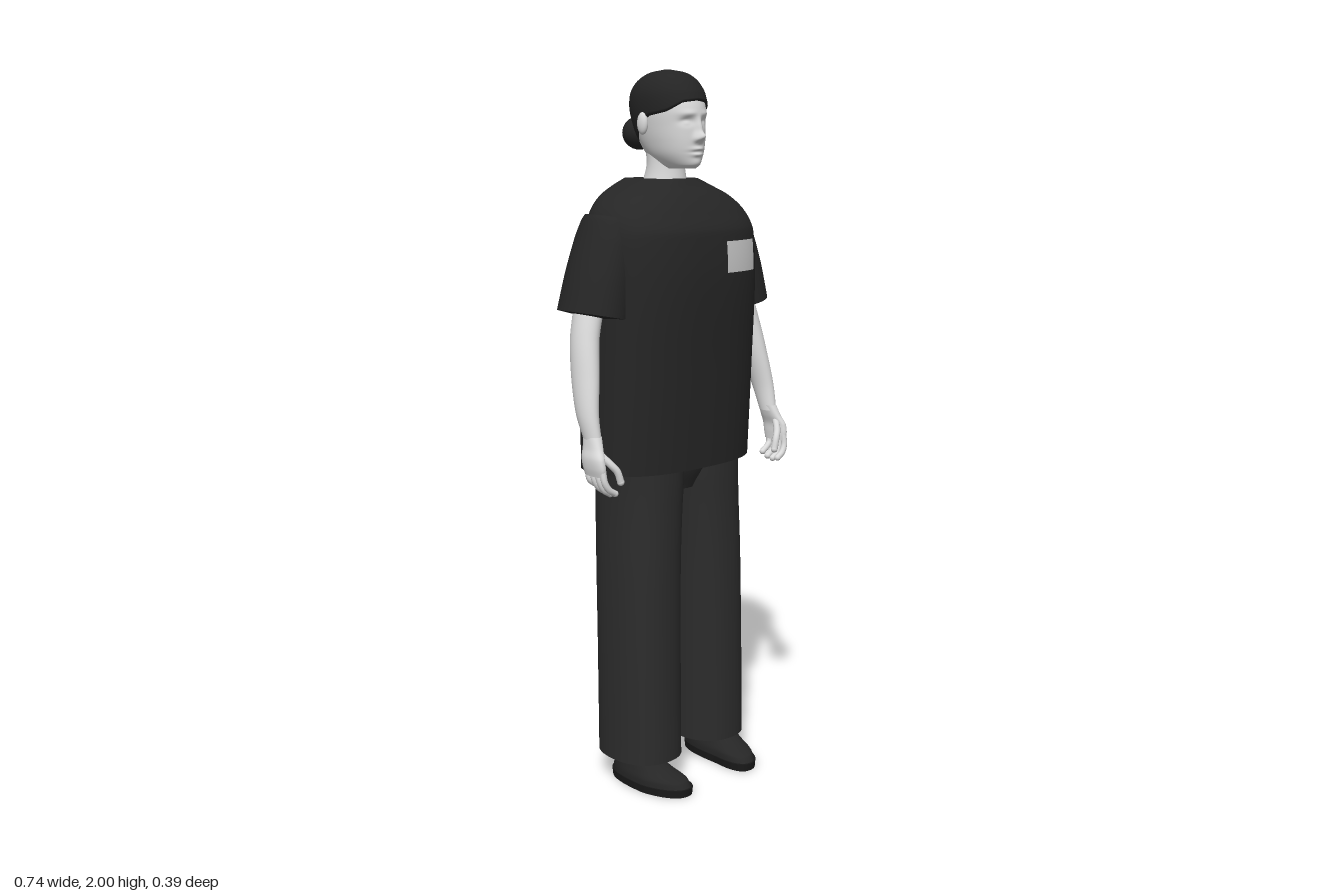
import * as THREE from 'three';

const mat = (name, color, side = THREE.FrontSide) => {
  const m = new THREE.MeshStandardMaterial({ color, side });
  m.name = name;
  return m;
};

// A body of horizontal rounded sections; each row is [y, centreX, halfWidth, frontZ, backZ], bottom to top.
function profile(rows, p) {
  const a = new THREE.CatmullRomCurve3(rows.map(r => new THREE.Vector3(r[0], r[1], r[2])));
  const b = new THREE.CatmullRomCurve3(rows.map(r => new THREE.Vector3(r[3], r[4], 0)));
  const section = t => {
    const u = a.getPoint(t), v = b.getPoint(t);
    return { y: u.x, cx: u.y, hw: u.z, cz: (v.x + v.y) / 2, hd: (v.x - v.y) / 2 };
  };
  const tAt = y => {
    let lo = 0, hi = 1;
    for (let i = 0; i < 30; i++) {
      const m = (lo + hi) / 2;
      if (a.getPoint(m).x < y) lo = m; else hi = m;
    }
    return lo;
  };
  return { section, tAt, p };
}

const power = (v, p) => Math.sign(v) * Math.abs(v) ** (2 / p);

// Skins a profile, with optional varying lower edge and vertex rule, and flat caps.
function loft(rows, { p = 2, seg = 48, steps = 32, bottomEdge, warp } = {}) {
  const { section, tAt } = profile(rows, p);
  const pos = [], index = [];
  const starts = Array.from({ length: seg }, (_, i) =>
    bottomEdge ? tAt(bottomEdge(i / seg * Math.PI * 2)) : 0);
  for (let j = 0; j <= steps; j++) {
    for (let i = 0; i < seg; i++) {
      const ang = i / seg * Math.PI * 2;
      const s = section(starts[i] + (1 - starts[i]) * j / steps);
      const k = bottomEdge && j === 0 ? 0.9 : 1;
      const v = new THREE.Vector3(s.cx + k * s.hw * power(Math.sin(ang), p), s.y,
        s.cz + k * s.hd * power(Math.cos(ang), p));
      if (warp) warp(v, Math.cos(ang));
      pos.push(v.x, v.y, v.z);
      if (j < steps) {
        const n = (i + 1) % seg, q = j * seg;
        index.push(q + i, q + n, q + seg + n, q + i, q + seg + n, q + seg + i);
      }
    }
  }
  for (const j of bottomEdge ? [steps] : [0, steps]) {
    const base = pos.length / 3, s = section(j / steps);
    for (let i = 0; i < seg; i++) pos.push(...pos.slice((j * seg + i) * 3, (j * seg + i) * 3 + 3));
    pos.push(s.cx, s.y, s.cz);
    for (let i = 0; i < seg; i++) {
      const n = base + (i + 1) % seg;
      if (j) index.push(base + i, n, base + seg); else index.push(n, base + i, base + seg);
    }
  }
  return finish(pos, index);
}

function finish(pos, index) {
  const g = new THREE.BufferGeometry();
  g.setAttribute('position', new THREE.Float32BufferAttribute(pos, 3));
  g.setIndex(index);
  g.computeVertexNormals();
  return g;
}

// A thin patch lying on the front (dir 1) or back (dir -1) of a profile.
function patch(rows, p, x0, x1, y0, y1, dir) {
  const { section, tAt } = profile(rows, p), n = 28, pos = [], index = [];
  for (let j = 0; j <= n; j++) {
    const s = section(tAt(y0 + (y1 - y0) * j / n));
    for (let i = 0; i <= n; i++) {
      const x = x0 + (x1 - x0) * i / n;
      const z = s.hd * Math.max(0, 1 - Math.abs((x - s.cx) / s.hw) ** p) ** (1 / p);
      pos.push(x, s.y, s.cz + dir * (z + 0.006));
      if (i < n && j < n) {
        const a = j * (n + 1) + i, b = a + 1, c = a + n + 2, d = a + n + 1;
        if (dir > 0) index.push(a, b, c, a, c, d); else index.push(b, a, c, c, a, d);
      }
    }
  }
  return finish(pos, index);
}

// Facial relief: [x, y, spreadX, spreadY, depth]
const FACE = [
  [0, 1.822, 0.013, 0.012, 0.02], [0, 1.845, 0.009, 0.025, 0.012],
  [0.012, 1.816, 0.007, 0.007, 0.006], [0.032, 1.862, 0.017, 0.01, -0.011],
  [0.032, 1.859, 0.01, 0.006, 0.006], [0.03, 1.883, 0.022, 0.007, 0.004],
  [0, 1.79, 0.02, 0.005, 0.007], [0, 1.775, 0.017, 0.005, 0.007],
  [0, 1.7825, 0.024, 0.002, -0.003], [0, 1.752, 0.02, 0.012, 0.004],
];
function faceRelief(v, front) {
  if (front <= 0) return;
  let dz = 0;
  for (const [x, y, sx, sy, d] of FACE)
    dz += d * Math.exp(-(((Math.abs(v.x) - x) / sx) ** 2) - ((v.y - y) / sy) ** 2);
  v.z += dz;
}

// Hairline height around the head, from brow to nape
const HAIRLINE = [[0, 1.915], [0.5, 1.91], [1, 1.885], [1.5, 1.875], [1.9, 1.845], [2.4, 1.8], [3.15, 1.785]];
function hairline(angle) {
  const a = angle > Math.PI ? Math.PI * 2 - angle : angle;
  const i = HAIRLINE.findIndex((h, k) => k > 0 && a <= h[0]);
  const [a0, y0] = HAIRLINE[i - 1], [a1, y1] = HAIRLINE[i];
  return y0 + (y1 - y0) * (a - a0) / (a1 - a0);
}

export function createModel() {
  const skin = mat('skin', 0xdadada), hairMat = mat('hair', 0x242424, THREE.DoubleSide);
  const shirtMat = mat('shirt', 0x262626), trouserMat = mat('trousers', 0x2c2c2c);
  const shoeMat = mat('shoes', 0x262626), soleMat = mat('soles', 0x1a1a1a);
  const panelMat = mat('panel', 0xcccccc, THREE.DoubleSide);

  const model = new THREE.Group();
  model.name = 'person';
  const add = (name, geometry, material, parent = model) => {
    const m = new THREE.Mesh(geometry, material);
    m.name = name;
    parent.add(m);
    return m;
  };
  const ball = (name, material, center, size, parent) => {
    const m = add(name, new THREE.SphereGeometry(1, 24, 16), material, parent);
    m.position.set(...center);
    m.scale.set(...size);
  };

  // Head, neck and hair
  add('head', loft([
    [1.738, 0, 0.03, 0.078, -0.04], [1.748, 0, 0.042, 0.09, -0.06], [1.775, 0, 0.06, 0.096, -0.085],
    [1.81, 0, 0.071, 0.099, -0.11], [1.85, 0, 0.078, 0.098, -0.125], [1.89, 0, 0.081, 0.098, -0.13],
    [1.93, 0, 0.077, 0.085, -0.125], [1.965, 0, 0.06, 0.058, -0.1], [1.985, 0, 0.03, 0.02, -0.06],
  ], { p: 2.1, seg: 128, steps: 80, warp: faceRelief }), skin);
  add('neck', loft([
    [1.66, 0, 0.075, 0.035, -0.11], [1.71, 0, 0.06, 0.025, -0.092], [1.75, 0, 0.054, 0.02, -0.082],
    [1.82, 0, 0.055, 0.02, -0.09],
  ]), skin);
  add('hair', loft([
    [1.78, 0, 0.06, 0.08, -0.085], [1.82, 0, 0.075, 0.09, -0.115], [1.86, 0, 0.083, 0.1, -0.133],
    [1.9, 0, 0.088, 0.102, -0.142], [1.94, 0, 0.085, 0.09, -0.137], [1.97, 0, 0.07, 0.068, -0.115],
    [1.99, 0, 0.046, 0.035, -0.08], [2, 0, 0.006, -0.015, -0.035],
  ], { p: 2.1, seg: 72, steps: 32, bottomEdge: hairline }), hairMat);
  ball('hairBun', hairMat, [0, 1.832, -0.137], [0.05, 0.046, 0.046]);

  // Loose shirt with chest and back panels
  const shirt = [
    [0.92, 0, 0.27, 0.127, -0.19], [1.2, 0, 0.268, 0.145, -0.185], [1.45, 0, 0.263, 0.16, -0.178],
    [1.57, 0, 0.257, 0.152, -0.172], [1.62, 0, 0.24, 0.125, -0.168], [1.66, 0, 0.2, 0.095, -0.165],
    [1.69, 0, 0.14, 0.066, -0.16], [1.71, 0, 0.09, 0.05, -0.15],
  ];
  add('shirtBody', loft(shirt, { p: 2.5, seg: 80, steps: 56 }), shirtMat);
  add('backPanel', patch(shirt, 2.5, -0.228, 0.228, 0.975, 1.59, -1), panelMat);
  add('chestPatch', patch(shirt, 2.5, 0.048, 0.178, 1.46, 1.545, 1), panelMat);

  // Hips joining the trouser legs
  add('hips', loft([[0.85, 0, 0.08, 0.06, -0.11], [0.92, 0, 0.15, 0.09, -0.14], [1, 0, 0.2, 0.1, -0.15]]), trouserMat);

  for (const [side, s] of [['left', 1], ['right', -1]]) {
    const sided = (rows, opt) => loft(rows.map(r => [r[0], s * r[1], ...r.slice(2)]), opt);
    ball(side + 'Ear', skin, [s * 0.086, 1.857, -0.03], [0.012, 0.03, 0.018]);

    // Sleeve with a slanted shoulder and cuff
    add(side + 'Sleeve', sided([
      [1.345, 0.27, 0.085, 0.077, -0.135], [1.45, 0.248, 0.078, 0.074, -0.13],
      [1.55, 0.222, 0.071, 0.066, -0.122], [1.6, 0.208, 0.067, 0.05, -0.108], [1.612, 0.205, 0.064, 0.04, -0.1],
    ], { p: 2.1, warp: v => { v.y += (s * v.x - 0.27) * 0.2 + 0.01; } }), shirtMat);

    // Arm and half-curled hand
    const arm = new THREE.Group();
    arm.name = side + 'Arm';
    model.add(arm);
    add('arm', sided([
      [1.03, 0.34, 0.019, 0.077, 0.02], [1.1, 0.34, 0.025, 0.064, -0.01], [1.2, 0.325, 0.032, 0.047, -0.043],
      [1.3, 0.308, 0.035, 0.027, -0.063], [1.42, 0.27, 0.042, 0.01, -0.075],
    ]), skin, arm);
    add('palm', sided([
      [0.943, 0.351, 0.012, 0.108, 0.032], [0.965, 0.353, 0.015, 0.11, 0.026], [0.99, 0.353, 0.016, 0.105, 0.022],
      [1.015, 0.346, 0.017, 0.09, 0.02], [1.045, 0.34, 0.019, 0.075, 0.017],
    ], { p: 2.4 }), skin, arm);
    const finger = (name, points, r) => {
      const pts = points.map(q => new THREE.Vector3(s * q[0], q[1], q[2]));
      add(name, new THREE.TubeGeometry(new THREE.CatmullRomCurve3(pts), 16, r, 10), skin, arm);
      ball(name + 'Tip', skin, pts[pts.length - 1].toArray(), [r, r, r], arm);
    };
    for (let i = 0; i < 4; i++) {
      const z = 0.1 - i * 0.02, lift = [0.004, 0, 0.004, 0.014][i];
      finger('finger' + (i + 1), [[0.352, 0.965, z], [0.35, 0.93, z + 0.006],
        [0.338, 0.905 + lift, z + 0.009], [0.318, 0.892 + lift, z + 0.01]], 0.009);
    }
    finger('thumb', [[0.345, 1.005, 0.075], [0.325, 0.975, 0.1], [0.31, 0.955, 0.11], [0.3, 0.925, 0.113]], 0.01);

    // Wide trouser leg
    add(side + 'TrouserLeg', sided([
      [0.08, 0.126, 0.104, 0.117, -0.132], [0.4, 0.124, 0.104, 0.112, -0.136], [0.65, 0.12, 0.105, 0.108, -0.143],
      [0.8, 0.113, 0.108, 0.105, -0.15], [0.88, 0.109, 0.112, 0.104, -0.152], [1, 0.108, 0.12, 0.1, -0.15],
    ], { p: 2.3 }), trouserMat);

    // Shoe, leaning slightly inward at the toe
    const toe = v => { v.x -= s * Math.max(0, v.z - 0.09) * 0.18; };
    add(side + 'Sole', sided([[0, 0.146, 0.058, 0.194, -0.083], [0.022, 0.146, 0.06, 0.196, -0.085]],
      { p: 2.4, steps: 3, warp: toe }), soleMat);
    add(side + 'Shoe', sided([
      [0.02, 0.146, 0.057, 0.192, -0.082], [0.038, 0.146, 0.056, 0.18, -0.08], [0.055, 0.146, 0.051, 0.135, -0.078],
      [0.075, 0.146, 0.046, 0.095, -0.075], [0.11, 0.146, 0.042, 0.05, -0.07],
    ], { p: 2.3, warp: toe }), shoeMat);
  }
  return model;
}
